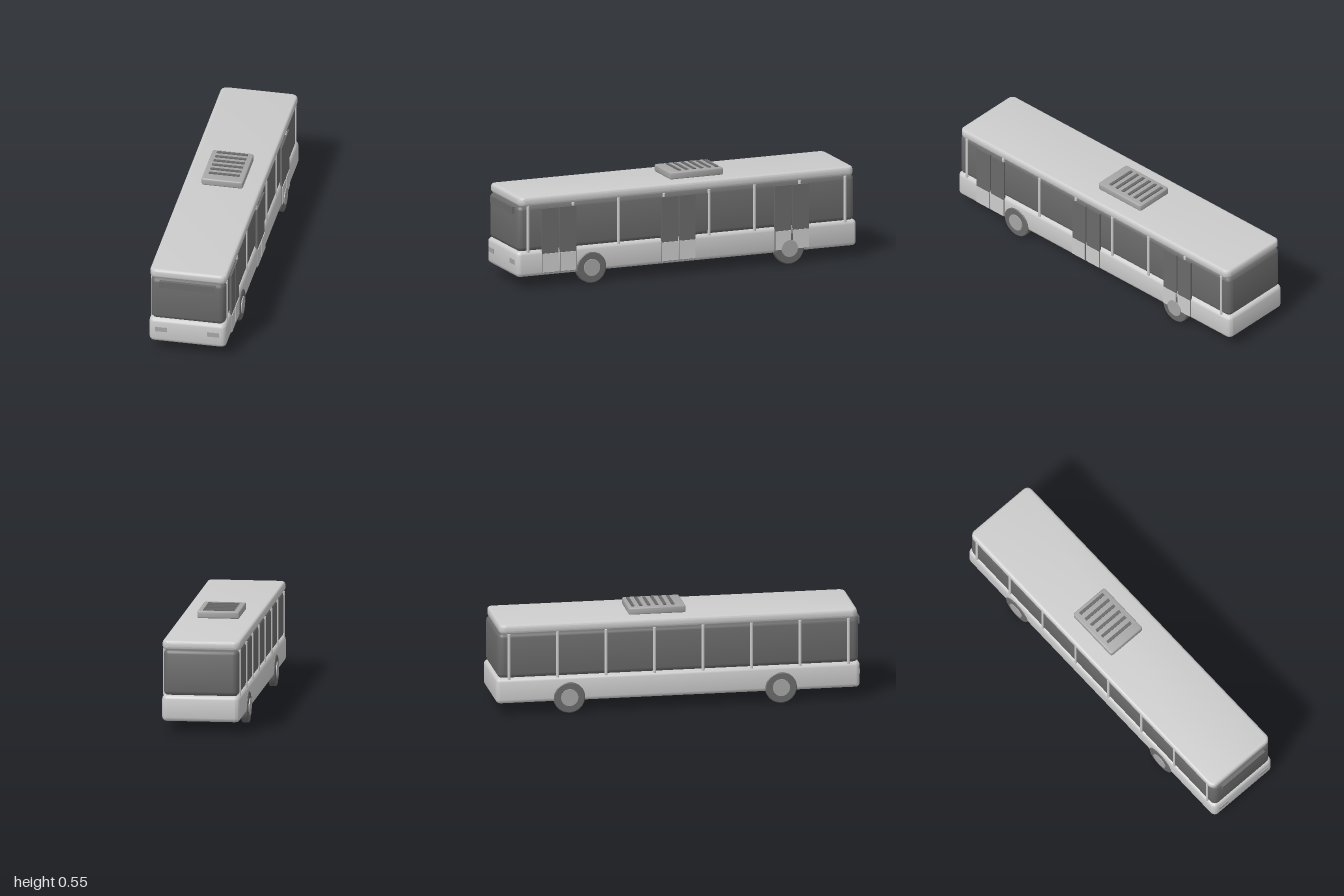
import * as THREE from 'three';
import { toCreasedNormals } from 'three/addons/utils/BufferGeometryUtils.js';

const material = (name, color) => {
  const m = new THREE.MeshStandardMaterial({ color });
  m.name = name;
  return m;
};

// Slab with rounded plan corners and bevelled top and bottom edges
function slab(width, y0, y1, z0, z1, corner, bevel) {
  const w = width / 2 - bevel, l = (z1 - z0) / 2 - bevel, r = Math.max(corner - bevel, 0.004);
  const s = new THREE.Shape();
  s.moveTo(w, -l + r);
  s.absarc(w - r, l - r, r, 0, Math.PI / 2);
  s.absarc(-w + r, l - r, r, Math.PI / 2, Math.PI);
  s.absarc(-w + r, -l + r, r, Math.PI, Math.PI * 1.5);
  s.absarc(w - r, -l + r, r, Math.PI * 1.5, Math.PI * 2);
  const g = new THREE.ExtrudeGeometry(s, {
    depth: y1 - y0 - 2 * bevel, bevelEnabled: true, bevelThickness: bevel,
    bevelSize: bevel, bevelSegments: 3, curveSegments: 5,
  });
  g.rotateX(-Math.PI / 2);
  g.translate(0, y0 + bevel, (z0 + z1) / 2);
  return toCreasedNormals(g, 0.7);
}

export function createModel() {
  const bus = new THREE.Group();
  bus.name = 'bus';
  const light = material('light body', 0xcccccc);
  const dark = material('dark glass and rubber', 0x6a6a6a);
  const mid = material('mid grey fittings', 0xa6a6a6);

  const add = (name, geometry, mat, x = 0, y = 0, z = 0) => {
    const m = new THREE.Mesh(geometry, mat);
    m.name = name;
    m.position.set(x, y, z);
    bus.add(m);
    return m;
  };
  const box = (name, mat, x0, x1, y0, y1, z0, z1) =>
    add(name, new THREE.BoxGeometry(x1 - x0, y1 - y0, z1 - z0), mat,
      (x0 + x1) / 2, (y0 + y1) / 2, (z0 + z1) / 2);

  // Main shell: lower body, window band, roof
  add('lowerBody', slab(0.424, 0.065, 0.208, -1, 0.995, 0.03, 0.022), light);
  add('windowBand', slab(0.41, 0.205, 0.457, -0.99, 0.988, 0.035, 0.025), dark);
  add('roof', slab(0.424, 0.455, 0.505, -0.982, 0.98, 0.035, 0.014), light);

  // Roof unit with vent slats
  add('roofUnit', slab(0.228, 0.503, 0.544, -0.257, 0.055, 0.014, 0.008), mid);
  for (let i = 0; i < 6; i++) {
    const z = -0.23 + i * 0.044;
    box('ventSlat', dark, -0.085, 0.085, 0.541, 0.549, z - 0.008, z + 0.008);
  }

  // Front sign and headlights
  box('destinationSign', dark, -0.153, 0.153, 0.408, 0.447, 0.98, 1);
  for (const s of [-1, 1]) {
    add('headlight', new THREE.BoxGeometry(0.065, 0.026, 0.009), mid, s * 0.1435, 0.145, 0.9945);
  }

  // Window pillars along both sides
  const pillar = new THREE.CylinderGeometry(0.008, 0.008, 0.255, 12);
  for (const s of [-1, 1]) {
    for (let i = 0; i < 8; i++) {
      add('windowPillar', pillar, light, s * 0.204, 0.3275, -0.93 + i * 0.2657);
    }
  }

  // Three double doors on the left side
  for (const zc of [0.75, 0.05, -0.615]) {
    for (const s of [-1, 1]) {
      const z = zc + s * 0.052;
      box('doorLeaf', dark, 0.203, 0.2145, 0.08, 0.437, z - 0.048, z + 0.048);
      box('doorLowerPanel', light, 0.21, 0.218, 0.083, 0.187, z - 0.046, z + 0.046);
    }
  }

  // Wheels: tyre with softened shoulders and a hub disc
  const tyre = toCreasedNormals(new THREE.LatheGeometry([
    [0, -0.019], [0.081, -0.019], [0.086, -0.015], [0.086, 0.015], [0.081, 0.019], [0, 0.019],
  ].map(([x, y]) => new THREE.Vector2(x, y)), 32), 0.6);
  tyre.rotateZ(Math.PI / 2);
  const hub = new THREE.CylinderGeometry(0.047, 0.047, 0.012, 28).rotateZ(Math.PI / 2);
  for (const s of [-1, 1]) {
    for (const z of [0.56, -0.6]) {
      add('tyre', tyre, dark, s * 0.1975, 0.086, z);
      add('wheelHub', hub, mid, s * 0.216, 0.087, z);
    }
  }
  return bus;
}
